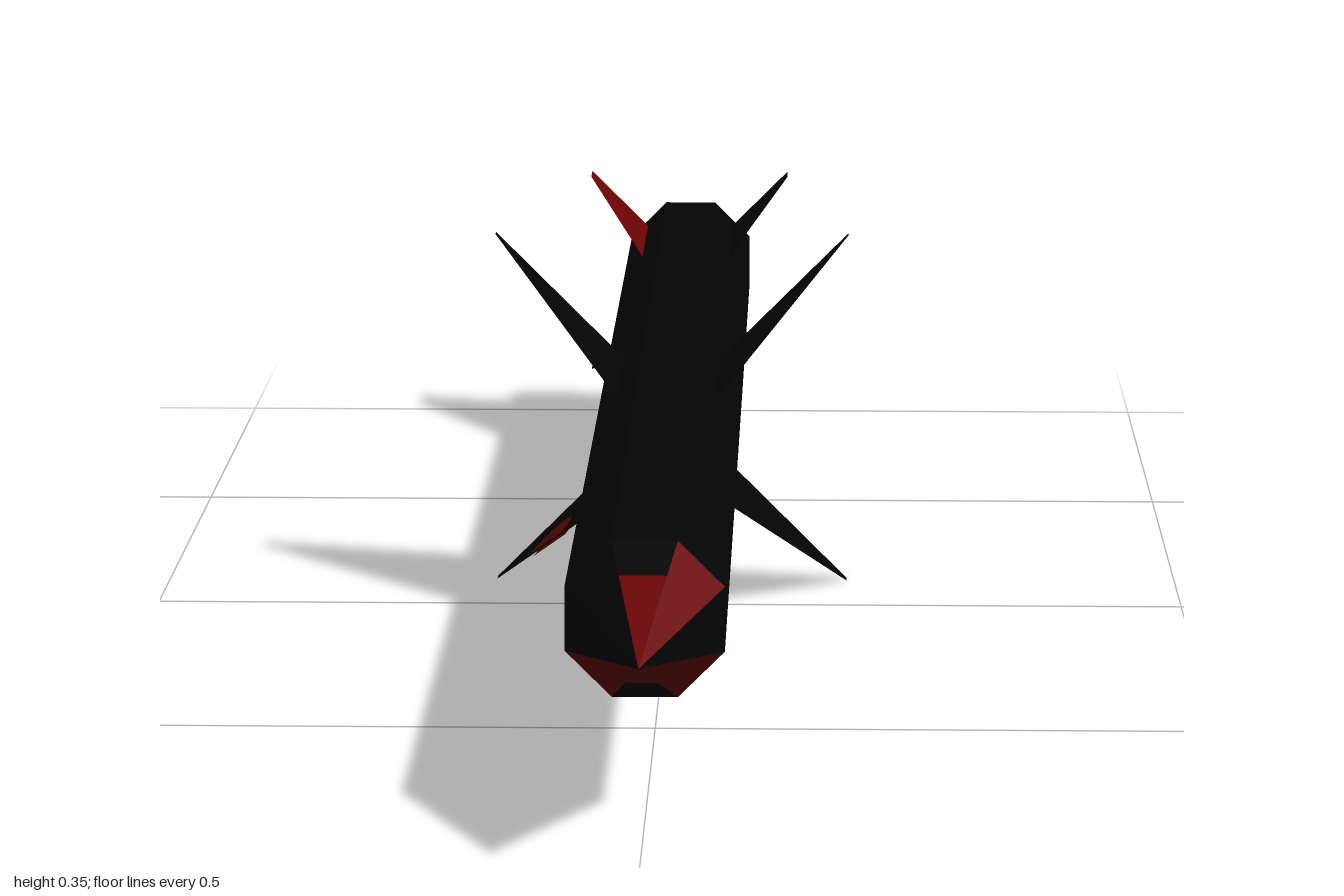
import * as THREE from 'three';

const R = 0.0725;          // corner radius of the octagonal tube
const CENTRE_Y = 0.174;
const NOSE_Z = 0.82;
const STEP = Math.PI / 4;

export function createModel() {
  const material = (name, color) => {
    const m = new THREE.MeshStandardMaterial({ color, flatShading: true, side: THREE.DoubleSide });
    m.name = name;
    return m;
  };
  const black = material('black', 0x030403);
  const red = material('dark red', 0x6a0405);

  const model = new THREE.Group();
  const missile = new THREE.Group();
  missile.name = 'missile';
  missile.position.y = CENTRE_Y;
  model.add(missile);

  const add = (name, geometry, mat) => {
    const mesh = new THREE.Mesh(geometry, mat);
    mesh.name = name;
    missile.add(mesh);
  };

  // Octagonal tube
  const tube = new THREE.CylinderGeometry(R, R, NOSE_Z + 1, 8, 1, true, STEP / 2);
  add('bodyTube', tube.rotateX(Math.PI / 2).translate(0, 0, (NOSE_Z - 1) / 2), black);

  // Nose cone, one panel at a time; panel 0 is underneath, panel 2 on +x.
  // Each value is the share of the panel, from the tip, that is red.
  const redShare = [0.48, 1, 0, 1, 0.72, 0, 0, 1];
  const nosePanel = (i, from, to, mat) => {
    const length = 1 - NOSE_Z;
    const g = new THREE.CylinderGeometry(R * from, R * to, length * (to - from), 1, 1, true,
      (i - 0.5) * STEP, STEP);
    g.rotateX(Math.PI / 2).translate(0, 0, 1 - length * (from + to) / 2);
    add('nosePanel', g, mat);
  };
  redShare.forEach((share, i) => {
    if (share > 0) nosePanel(i, 0, share, red);
    if (share < 1) nosePanel(i, share, 1, black);
  });

  // Tail cap with a red lower rim
  const inner = R * 0.64;
  const toTail = (g) => g.rotateY(Math.PI).translate(0, 0, -1);
  add('tailCap', toTail(new THREE.CircleGeometry(inner, 8, STEP / 2)), black);
  add('tailRimUpper', toTail(new THREE.RingGeometry(inner, R, 5, 1, -STEP / 2, 5 * STEP)), black);
  add('tailRimLower', toTail(new THREE.RingGeometry(inner, R, 3, 1, 4.5 * STEP, 3 * STEP)), red);

  // Paper-thin radial plate;
  // points are [sideways distance, z] for a plate leaning at 45 degrees
  const plate = (name, points, angle, mat, lift = 0) => {
    const shape = new THREE.Shape(points.map(([d, z]) => new THREE.Vector2(d * Math.SQRT2, z)));
    const g = new THREE.ShapeGeometry(shape).translate(0, 0, lift);
    add(name, g.rotateX(Math.PI / 2).rotateZ(angle), mat);
  };

  const wing = [[0.046, -0.123], [0.174, -0.123], [0.174, -0.11], [0.046, 0.092]];
  const tailFin = [[0.046, -0.952], [0.11, -0.952], [0.11, -0.91], [0.046, -0.735]];

  // Four wings in an X
  for (let i = 0; i < 4; i++) plate('wing', wing, (i + 0.5) * Math.PI / 2, black);

  // Three tail fins, one of them red
  plate('tailFin', tailFin, STEP, black);
  plate('tailFin', tailFin, STEP * 5, black);
  plate('redTailFin', tailFin, STEP * 3, red);

  // Half-round red spot on both sides of one wing's leading edge
  const edge = Math.atan2(-0.202, 0.128 * Math.SQRT2);
  const spot = [];
  for (let k = 0; k <= 8; k++) {
    const a = edge - Math.PI * k / 8;
    spot.push([0.12 + 0.036 * Math.cos(a) / Math.SQRT2, -0.025 + 0.036 * Math.sin(a)]);
  }
  for (const lift of [-0.002, 0.002]) plate('wingSpot', spot, STEP * 5, red, lift);

  return model;
}
